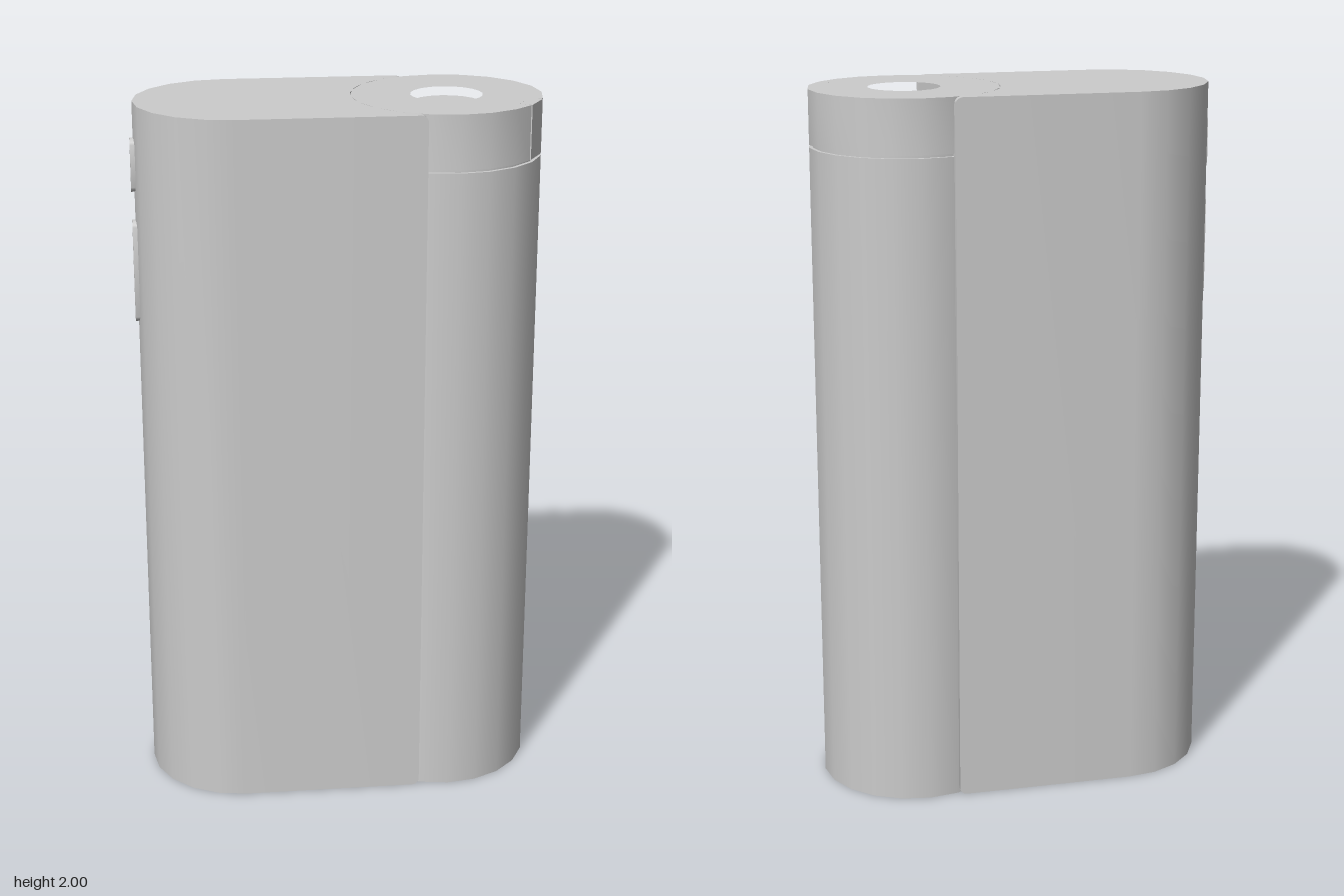
import * as THREE from 'three';
import { toCreasedNormals } from 'three/addons/utils/BufferGeometryUtils.js';

const R = 0.264;        // radius of both rounded ends
const C = 0.297;        // distance of each end's axis from the middle
const H = 2;            // overall height
const LIP_START = 0.15, LIP_END = 0.21;

export function createModel() {
  const group = new THREE.Group();
  const material = new THREE.MeshStandardMaterial({ color: 0xcccccc });

  const add = (name, geometry, x = 0, y = 0, z = 0) => {
    const mesh = new THREE.Mesh(geometry, material);
    mesh.name = name;
    mesh.position.set(x, y, z);
    group.add(mesh);
    return mesh;
  };
  const extrude = (shape, depth, curveSegments = 6) => toCreasedNormals(
    new THREE.ExtrudeGeometry(shape, { depth, curveSegments, bevelEnabled: false }), 0.5);
  // Plan outline raised upwards
  const raise = (shape, height, segments) => extrude(shape, height, segments).rotateX(-Math.PI / 2);

  // Main body: round outer end, hollow inner end that hugs the tube
  const a = Math.acos((LIP_START - C) / R);
  const plan = new THREE.Shape();
  plan.moveTo(LIP_START, R);
  plan.lineTo(-C + 0.004, R);
  plan.absarc(-C, 0, R, Math.PI / 2, Math.PI * 1.5, false);
  plan.lineTo(-C + 0.004, -R);
  plan.lineTo(LIP_START, -R);
  plan.absarc(C, 0, R, -a + Math.PI * 2, a, true);
  plan.closePath();
  add('body', raise(plan, H, 5));

  // Thin side lips with rounded corners overlapping the tube
  const c = 0.02, lipDepth = 0.044;
  const lip = new THREE.Shape();
  lip.moveTo(LIP_START, 0);
  lip.lineTo(LIP_END - c, 0);
  lip.absarc(LIP_END - c, c, c, -Math.PI / 2, 0, false);
  lip.absarc(LIP_END - c, H - c, c, 0, Math.PI / 2, false);
  lip.lineTo(LIP_START, H);
  lip.closePath();
  const lipGeometry = extrude(lip, lipDepth, 3);
  add('frontLip', lipGeometry, 0, 0, R - lipDepth);
  add('backLip', lipGeometry, 0, 0, -R);

  // Tube, with a narrow neck forming the seam below the cap
  const tubeTop = 1.842, capBottom = 1.85;
  add('tube', new THREE.CylinderGeometry(R, R, tubeTop, 20), C, tubeTop / 2, 0);
  add('capNeck', new THREE.CylinderGeometry(R - 0.01, R - 0.01, 0.012, 20, 1, true), C, 1.846, 0);

  // Cap ring with a central hole and a notch for the tab
  const tabAngle = Math.PI / 6, tabWidth = 0.08, notchDepth = 0.035;
  const half = Math.asin((tabWidth / 2 + 0.004) / R);
  const at = (r, angle) => new THREE.Vector2(r * Math.cos(angle), -r * Math.sin(angle));
  const outline = [at(R - notchDepth, tabAngle + half), at(R, tabAngle + half)];
  for (let k = 3; k <= 21; k++) outline.push(at(R, k * Math.PI / 10));
  outline.push(at(R, tabAngle - half), at(R - notchDepth, tabAngle - half));
  const ring = new THREE.Shape(outline);
  ring.holes.push(new THREE.Path().absarc(0, 0, 0.1, 0, Math.PI * 2, true));
  add('cap', raise(ring, H - capBottom, 10), C, capBottom, 0);

  // Recessed disc in the cap
  add('capDisc', new THREE.CylinderGeometry(0.1, 0.1, 0.12, 20), C, 1.915, 0);

  // Small tab in the cap's notch
  const tabR = R - 0.02;
  const tab = add('capTab', new THREE.BoxGeometry(0.036, H - capBottom, tabWidth),
    C + tabR * Math.cos(tabAngle), (H + capBottom) / 2, tabR * Math.sin(tabAngle));
  tab.rotation.y = -tabAngle;

  // Pill-shaped buttons on the outer end
  const pill = (height) => {
    const r = 0.024, h = height / 2 - r;
    const s = new THREE.Shape();
    s.absarc(0, h, r, 0, Math.PI, false);
    s.absarc(0, -h, r, Math.PI, Math.PI * 2, false);
    s.closePath();
    return extrude(s, 0.03, 5).rotateY(-Math.PI / 2);
  };
  add('upperButton', pill(0.15), -0.54, 1.825, 0);
  add('lowerButton', pill(0.29), -0.54, 1.525, 0);

  // The whole body stands turned by 15 degrees
  group.rotation.y = -Math.PI / 12;
  const model = new THREE.Group();
  model.name = 'handheldDevice';
  group.name = 'device';
  model.add(group);
  return model;
}
